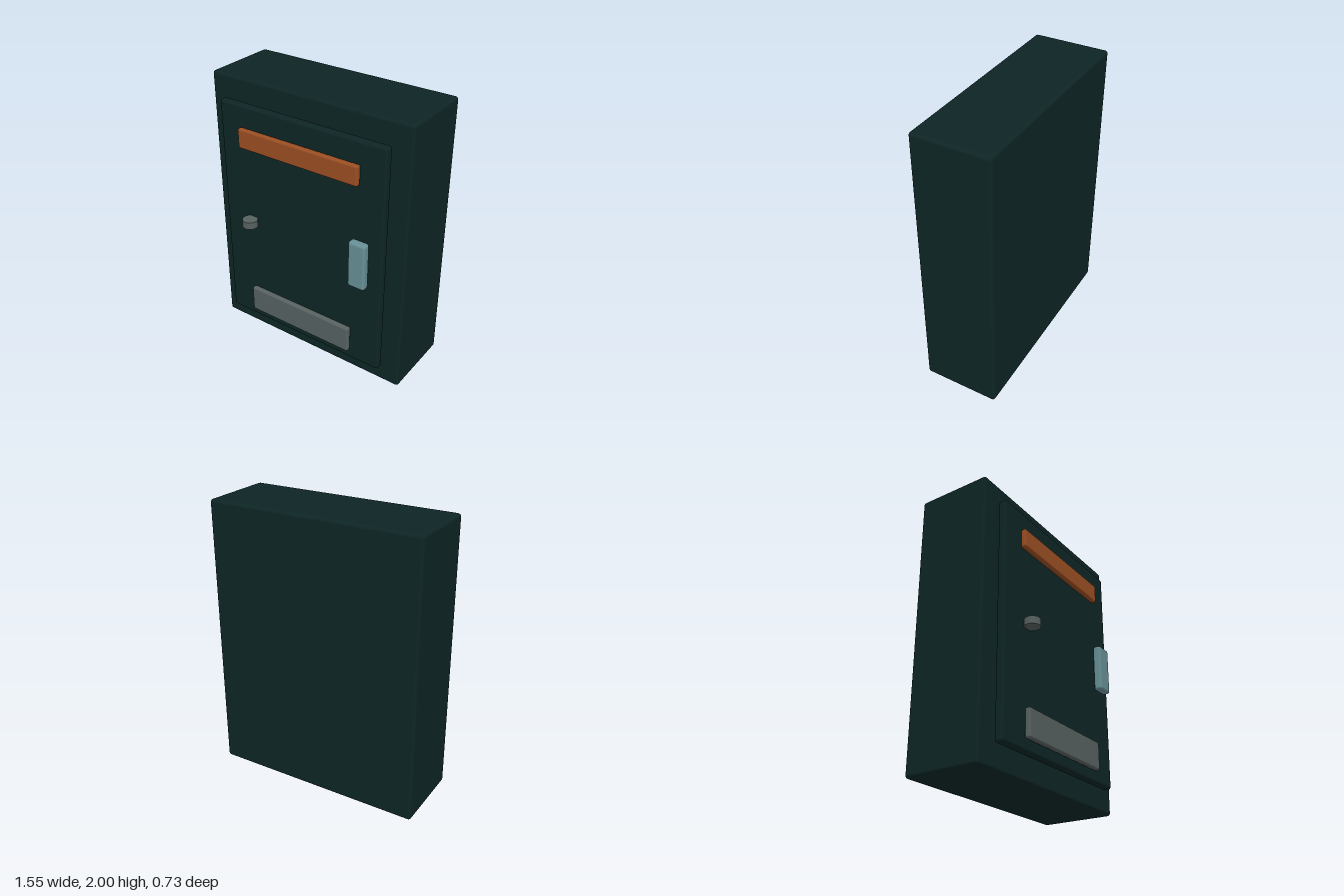
import * as THREE from 'three';
import { RoundedBoxGeometry } from 'three/addons/geometries/RoundedBoxGeometry.js';

function material(name, color) {
  const m = new THREE.MeshStandardMaterial({ color });
  m.name = name;
  return m;
}

export function createModel() {
  const group = new THREE.Group();
  group.name = 'wallCabinet';

  const darkGreen = material('darkGreen', 0x0e2525);
  const rust = material('rust', 0x9a4e22);
  const paleTeal = material('paleTeal', 0x668f95);
  const grey = material('grey', 0x566160);

  // Rounded box given by its size, centre and edge radius
  function block(name, mat, [w, h, d], [x, y, z], radius) {
    const mesh = new THREE.Mesh(new RoundedBoxGeometry(w, h, d, 3, radius), mat);
    mesh.name = name;
    mesh.position.set(x, y, z);
    group.add(mesh);
  }

  // Case and the door standing just off its front
  block('cabinetBody', darkGreen, [1.55, 2, 0.55], [0, 1, -0.09], 0.022);
  block('door', darkGreen, [1.3, 1.7, 0.062], [0, 1.002, 0.235], 0.02);

  // Plates and handle on the door
  block('upperStripe', rust, [0.945, 0.142, 0.042], [-0.003, 1.628, 0.285], 0.014);
  block('lowerPlate', grey, [0.85, 0.2, 0.042], [0, 0.33, 0.285], 0.014);
  block('handle', paleTeal, [0.13, 0.345, 0.062], [0.497, 1.003, 0.308], 0.02);

  // Lock knob: a short upright disc half sunk behind the door front
  const knob = new THREE.Mesh(new THREE.CylinderGeometry(0.055, 0.055, 0.054, 24), grey);
  knob.name = 'lockKnob';
  knob.position.set(-0.403, 1.003, 0.31);
  group.add(knob);

  return group;
}
